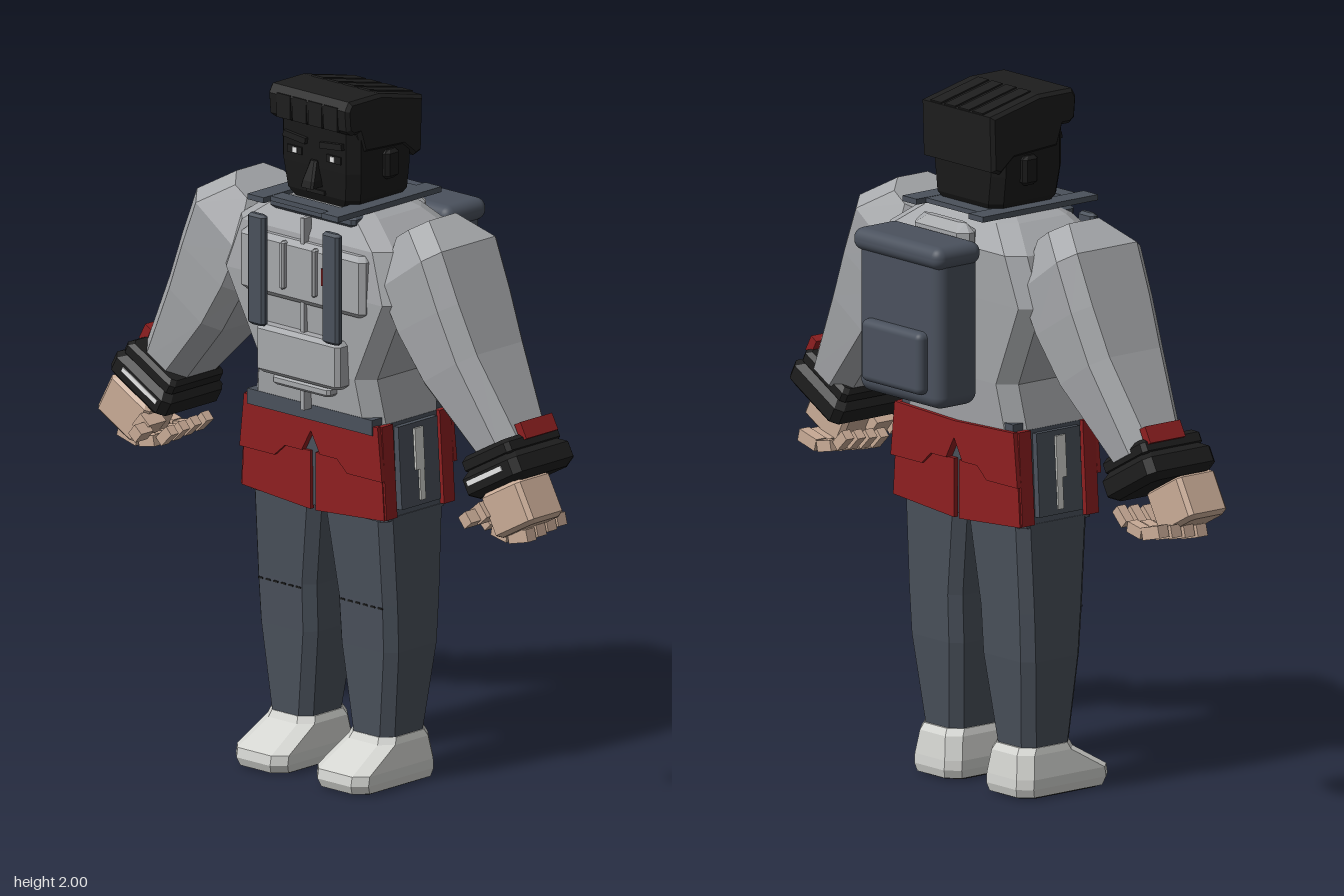
import * as THREE from 'three';
import { RoundedBoxGeometry } from 'three/addons/geometries/RoundedBoxGeometry.js';

const mat = (name, color, flat = true) => {
  const m = new THREE.MeshStandardMaterial({ color, flatShading: flat });
  m.name = name;
  return m;
};

// chamfered rectangle around c, spanned by half vectors u and v
function ring(c, u, v, ch) {
  const lu = u.length(), lv = v.length();
  const a = 1 - Math.min(ch / lu, 0.8), b = 1 - Math.min(ch / lv, 0.8);
  return [[1, -b], [1, b], [a, 1], [-a, 1], [-1, b], [-1, -b], [-a, -1], [a, -1]]
    .map(([p, q]) => c.clone().addScaledVector(u, p).addScaledVector(v, q));
}

// closed skin through a list of equal-sized rings
function loft(rings) {
  const n = rings[0].length, mid = r => r.reduce((s, p) => s.add(p), new THREE.Vector3()).divideScalar(n);
  const [p, q, r] = rings[0];
  const normal = q.clone().sub(p).cross(r.clone().sub(p));
  const first = mid(rings[0]), last = mid(rings[rings.length - 1]);
  const ordered = normal.dot(last.clone().sub(first)) < 0 ? rings.map(k => [...k].reverse()) : rings;
  const pos = [], tri = (...t) => t.forEach(k => pos.push(k.x, k.y, k.z));
  for (let j = 0; j < rings.length - 1; j++) {
    const A = ordered[j], B = ordered[j + 1];
    for (let i = 0; i < n; i++) {
      const k = (i + 1) % n;
      tri(A[i], A[k], B[k]);
      tri(A[i], B[k], B[i]);
    }
  }
  const lo = ordered[0], hi = ordered[ordered.length - 1];
  for (let i = 0; i < n; i++) {
    const k = (i + 1) % n;
    tri(first, lo[k], lo[i]);
    tri(last, hi[i], hi[k]);
  }
  const g = new THREE.BufferGeometry();
  g.setAttribute('position', new THREE.Float32BufferAttribute(pos, 3));
  g.computeVertexNormals();
  return g;
}

// upright body from rows of [y, x0, x1, z0, z1]
const stack = (rows, ch) => loft(rows.map(([y, x0, x1, z0, z1]) => ring(
  new THREE.Vector3((x0 + x1) / 2, y, (z0 + z1) / 2),
  new THREE.Vector3(Math.abs(x1 - x0) / 2, 0, 0), new THREE.Vector3(0, 0, (z1 - z0) / 2), ch)));

const extrude = (pts, depth, bevel = 0) => new THREE.ExtrudeGeometry(
  new THREE.Shape(pts.map(p => new THREE.Vector2(...p))),
  { depth, bevelEnabled: bevel > 0, bevelSize: bevel, bevelThickness: bevel, bevelOffset: -bevel, bevelSegments: 1 });

export function createModel() {
  const M = {
    grey: mat('jacket grey', 0xa6a8ab), slate: mat('slate', 0x4a515b), pack: mat('pack slate', 0x4a515d, false),
    red: mat('red', 0x8e1f20), black: mat('black', 0x1d1d1d), face: mat('dark face', 0x191919),
    skin: mat('skin', 0xc9ab96), shoe: mat('shoe white', 0xd3d4d0), white: mat('white', 0xeeeeee),
  };
  const root = new THREE.Group();
  const add = (name, geo, m, parent = root) => {
    const mesh = new THREE.Mesh(geo, m);
    mesh.name = name;
    parent.add(mesh);
    return mesh;
  };
  const box = (name, m, [w, h, d], [x, y, z], parent = root, rz = 0) => {
    const b = add(name, new THREE.BoxGeometry(w, h, d), m, parent);
    b.position.set(x, y, z);
    b.rotation.z = rz;
    return b;
  };
  // small box with cut edges
  const block = (name, m, [w, h, d], [x, y, z], c, parent = root) => {
    const b = add(name, stack([[-h / 2, -w / 2 + c, w / 2 - c, -d / 2 + c, d / 2 - c], [-h / 2 + c, -w / 2, w / 2, -d / 2, d / 2],
      [h / 2 - c, -w / 2, w / 2, -d / 2, d / 2], [h / 2, -w / 2 + c, w / 2 - c, -d / 2 + c, d / 2 - c]], c), m, parent);
    b.position.set(x, y, z);
    return b;
  };

  // head and hair
  add('head', stack([[1.67, -0.12, 0.12, -0.025, 0.195], [1.70, -0.14, 0.14, -0.04, 0.21],
    [1.78, -0.15, 0.15, -0.04, 0.218], [1.93, -0.15, 0.15, -0.04, 0.218]], 0.03), M.face);
  const hair = extrude([[0.235, 2], [0.25, 1.975], [0.245, 1.915], [0.225, 1.9], [0.2, 1.9], [0.18, 1.84], [0.02, 1.83],
    [-0.03, 1.79], [-0.06, 1.8], [-0.065, 1.96], [0.11, 2]], 0.29, 0.01);
  hair.rotateY(-Math.PI / 2).translate(0.145, 0, 0);
  add('hair', hair, M.black);
  for (const x of [-0.09, -0.03, 0.03, 0.09]) {
    const lock = box('hairRidge', M.black, [0.045, 0.008, 0.18], [x, 1.981, 0.025]);
    lock.rotation.x = -0.22;
    box('fringe', M.black, [0.052, 0.07, 0.012], [x, 1.945, 0.245]);
  }
  add('nose', stack([[1.725, -0.024, 0.024, 0.2, 0.256], [1.745, -0.022, 0.022, 0.2, 0.25], [1.8, -0.012, 0.012, 0.2, 0.228]], 0.006), M.face);
  box('mouth', M.black, [0.07, 0.012, 0.012], [0, 1.708, 0.212]);
  for (const s of [-1, 1]) {
    box('eye', M.black, [0.055, 0.022, 0.008], [s * 0.075, 1.816, 0.219]);
    box('eyeGlint', M.white, [0.016, 0.016, 0.006], [s * 0.072, 1.816, 0.223]);
    box('brow', M.black, [0.085, 0.018, 0.016], [s * 0.07, 1.855, 0.222], root, s * 0.1);
    block('ear', M.face, [0.03, 0.085, 0.055], [s * 0.153, 1.79, 0.072], 0.01);
  }

  // torso and chest rig
  add('torso', stack([[1.06, -0.25, 0.25, -0.06, 0.235], [1.2, -0.228, 0.228, -0.075, 0.25], [1.44, -0.345, 0.345, -0.092, 0.262],
    [1.585, -0.295, 0.295, -0.1, 0.25], [1.655, -0.2, 0.2, -0.05, 0.215], [1.675, -0.16, 0.16, -0.03, 0.2]], 0.045), M.grey);
  block('chestPanel', M.grey, [0.48, 0.18, 0.06], [0, 1.48, 0.25], 0.015);
  block('bellyPouch', M.grey, [0.32, 0.14, 0.06], [0, 1.238, 0.265], 0.012);
  block('bellyTab', M.grey, [0.22, 0.03, 0.05], [0, 1.152, 0.255], 0.008);
  box('zip', M.grey, [0.014, 0.56, 0.03], [0, 1.36, 0.255]);
  box('chestTag', M.red, [0.02, 0.05, 0.009], [0.1, 1.49, 0.285]);
  box('belt', M.slate, [0.48, 0.045, 0.3], [0, 1.068, 0.09]);

  // collar and shoulder straps
  block('neckBand', M.slate, [0.33, 0.035, 0.25], [0, 1.65, 0.11], 0.01);
  box('collarFront', M.slate, [0.3, 0.014, 0.05], [0, 1.678, 0.255]);
  box('collarBack', M.slate, [0.3, 0.014, 0.06], [0, 1.678, -0.05]);
  for (const s of [-1, 1]) {
    box('collarStrap', M.slate, [0.062, 0.016, 0.425], [s * 0.143, 1.678, 0.097]);
    block('frontStrap', M.slate, [0.064, 0.325, 0.028], [s * 0.143, 1.47, 0.299], 0.008);
    block('chestRib', M.grey, [0.016, 0.14, 0.026], [s * 0.06, 1.495, 0.282], 0.005);
  }

  // backpack
  const soft = (name, [w, h, d], r, [x, y, z], m) => add(name, new RoundedBoxGeometry(w, h, d, 4, r), m).position.set(x, y, z);
  soft('backpack', [0.355, 0.45, 0.155], 0.035, [0, 1.375, -0.204], M.pack);
  soft('packLid', [0.38, 0.065, 0.17], 0.03, [0, 1.588, -0.21], M.pack);
  soft('packPocket', [0.26, 0.18, 0.06], 0.02, [0, 1.28, -0.282], M.pack);
  block('hoodRoll', M.grey, [0.23, 0.13, 0.07], [0, 1.588, -0.105], 0.025);

  // hips with a split skirt panel on both faces
  add('hips', stack([[0.79, -0.264, 0.264, -0.045, 0.215], [1.07, -0.25, 0.25, -0.05, 0.218]], 0.015), M.slate);
  for (const s of [-1, 1]) {
    const lower = [[0, 1.058], [0.255, 1.07], [0.274, 0.8], [0.01, 0.78], [0.01, 0.95], [0.035, 0.95], [0, 1.013]];
    const upper = [[0, 1.062], [0.257, 1.072], [0.274, 0.915], [0.14, 0.915], [0.1, 0.95], [0.035, 0.95], [0, 1.013]];
    for (const [z, dz] of [[0.212, 0.012], [-0.052, -0.012]]) {
      const flip = p => p.map(([x, y]) => [x * s, y]);
      const low = dz > 0 ? z : z - 0.012;
      add('skirtPanel', extrude(flip(lower), 0.014), M.red).position.z = low;
      add('skirtFlap', extrude(flip(upper), 0.014), M.red).position.z = low + dz * 0.8;
      box('skirtSide', M.red, [0.018, 0.27, 0.045], [s * 0.262, 0.936, dz > 0 ? 0.2 : -0.036], root, s * 0.065);
    }
    box('sidePanel', M.slate, [0.02, 0.24, 0.16], [s * 0.265, 0.94, 0.082], root, s * 0.06);
    box('sideStripe', M.shoe, [0.008, 0.12, 0.035], [s * 0.275, 0.985, 0.085], root, s * 0.06);
    box('sideStripeLower', M.shoe, [0.008, 0.09, 0.02], [s * 0.28, 0.88, 0.078], root, s * 0.06);

    // trouser leg with a stitched knee seam
    add('leg', stack([[0.13, s * 0.078, s * 0.235, 0, 0.172], [0.4, s * 0.045, s * 0.265, -0.028, 0.187],
      [0.54, s * 0.042, s * 0.268, -0.035, 0.195], [0.8, s * 0.006, s * 0.266, -0.048, 0.212]], 0.03), M.slate);
    for (let i = 0; i < 6; i++) box('kneeStitch', M.black, [0.018, 0.005, 0.004], [s * (0.085 + i * 0.029), 0.53, 0.195]);

    // shoe
    add('shoe', stack([[0.006, s * 0.062, s * 0.25, -0.025, 0.295], [0.03, s * 0.056, s * 0.255, -0.032, 0.305],
      [0.058, s * 0.056, s * 0.255, -0.03, 0.3], [0.125, s * 0.065, s * 0.245, -0.02, 0.185],
      [0.145, s * 0.072, s * 0.24, -0.008, 0.175]], 0.035), M.shoe);
    add('sole', stack([[0, s * 0.075, s * 0.237, -0.01, 0.28], [0.008, s * 0.075, s * 0.237, -0.01, 0.28]], 0.035), M.black);

    // sleeve: outer and inner edge points with half depth
    add('sleeve', loft([[0.37, 1.68, 0.25, 1.6, 0.1], [0.47, 1.62, 0.24, 1.46, 0.155], [0.53, 1.48, 0.3, 1.345, 0.15],
      [0.59, 1.34, 0.39, 1.215, 0.138], [0.72, 1.1, 0.575, 1.02, 0.1]].map(([ox, oy, ix, iy, hz]) => ring(
      new THREE.Vector3(s * (ox + ix) / 2, (oy + iy) / 2, 0.09),
      new THREE.Vector3(s * (ox - ix) / 2, (oy - iy) / 2, 0), new THREE.Vector3(0, 0, hz), 0.045))), M.grey);

    // cuff
    const wrist = new THREE.Group();
    wrist.name = 'wrist';
    wrist.position.set(s * 0.67, 1.02, 0.105);
    wrist.rotation.z = s * 0.5;
    root.add(wrist);
    block('cuff', M.black, [0.235, 0.085, 0.25], [0, -0.012, 0], 0.02, wrist);
    block('cuffBand', M.black, [0.205, 0.05, 0.22], [0, 0.045, 0], 0.012, wrist);
    box('cuffTab', M.red, [0.026, 0.05, 0.13], [s * 0.1, 0.075, -0.025], wrist);
    box('cuffStripe', M.white, [0.15, 0.015, 0.006], [s * -0.01, -0.005, 0.125], wrist);

    // hand with curled fingers
    block('palm', M.skin, [0.165, 0.135, 0.14], [s * 0.015, -0.115, 0.05], 0.012, wrist);
    for (let i = 0; i < 4; i++) {
      const z = 0.065 - i * 0.045, r = i * 0.006;
      box('fingerBase', M.skin, [0.075, 0.036, 0.036], [s * -0.015, -0.195 + r, z], wrist, s * -0.25);
      box('fingerMiddle', M.skin, [0.06, 0.032, 0.034], [s * -0.08, -0.165 + r, z], wrist, s * -0.7);
      box('fingerTip', M.skin, [0.03, 0.055, 0.03], [s * -0.125, -0.11 + r, z], wrist, s * 0.3);
    }
    box('thumbBase', M.skin, [0.045, 0.05, 0.07], [s * -0.075, -0.095, 0.1], wrist, s * 0.2);
    box('thumbTip', M.skin, [0.035, 0.038, 0.05], [s * -0.095, -0.1, 0.15], wrist, s * 0.2);
  }
  return root;
}
